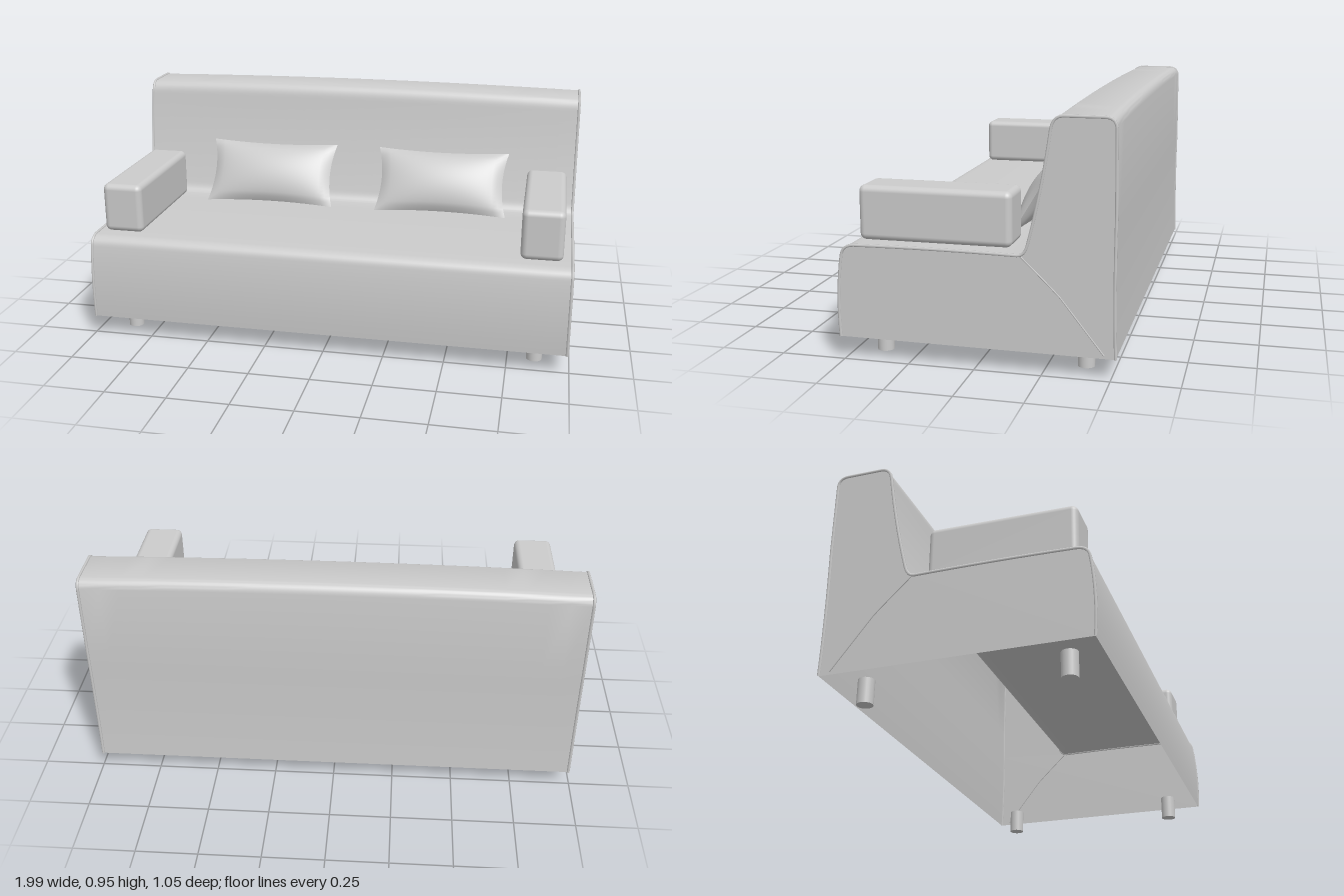
import * as THREE from 'three';
import { RoundedBoxGeometry } from 'three/addons/geometries/RoundedBoxGeometry.js';
import { toCreasedNormals } from 'three/addons/utils/BufferGeometryUtils.js';

const grey = new THREE.MeshStandardMaterial({ color: 0xcccccc });
const cloth = new THREE.MeshStandardMaterial({ color: 0xcccccc, side: THREE.DoubleSide });
const HALF = 0.988; // half width of the cover

function add(parent, name, geometry, material = grey) {
  const mesh = new THREE.Mesh(geometry, material);
  mesh.name = name;
  parent.add(mesh);
  return mesh;
}

// Move every vertex of a geometry by a rule and refresh the normals
function reshape(geometry, rule) {
  const pos = geometry.attributes.position;
  const v = new THREE.Vector3();
  for (let i = 0; i < pos.count; i++) {
    rule(v.fromBufferAttribute(pos, i), i);
    pos.setXYZ(i, v.x, v.y, v.z);
  }
  geometry.computeVertexNormals();
  return geometry;
}

// Side outline (z, y) from the back hem, over the backrest and seat, to the front hem
function sideOutline() {
  const s = new THREE.Shape();
  s.moveTo(-0.517, 0.078);
  s.quadraticCurveTo(-0.508, 0.3, -0.513, 0.6);
  s.lineTo(-0.51, 0.9);
  s.quadraticCurveTo(-0.507, 0.932, -0.475, 0.935);
  s.lineTo(-0.32, 0.935);
  s.quadraticCurveTo(-0.285, 0.93, -0.28, 0.88);
  s.quadraticCurveTo(-0.25, 0.67, -0.2, 0.48);
  s.quadraticCurveTo(-0.19, 0.438, -0.165, 0.435);
  s.quadraticCurveTo(0.15, 0.442, 0.455, 0.436);
  s.quadraticCurveTo(0.5, 0.435, 0.505, 0.395);
  s.quadraticCurveTo(0.528, 0.25, 0.517, 0.083);
  return s;
}

// Thin piping along a list of points
function piping(points, radius = 0.006) {
  const path = new THREE.CurvePath();
  for (let i = 1; i < points.length; i++) path.add(new THREE.LineCurve3(points[i - 1], points[i]));
  return new THREE.TubeGeometry(path, points.length * 3, radius, 6);
}

function buildCover() {
  const cover = new THREE.Group();
  cover.name = 'sofaCover';
  const outline = sideOutline();
  const pts = outline.getPoints(8);

  // Cloth running over back, seat and front, with a slightly crowned top
  const columns = 24;
  const sheet = new THREE.PlaneGeometry(2 * HALF, 1, columns, pts.length - 1);
  reshape(sheet, (v, i) => {
    const p = pts[Math.floor(i / (columns + 1))];
    const crown = 0.013 * Math.max(0, (p.y - 0.8) / 0.135) * (1 - (v.x / HALF) ** 2);
    v.set(v.x, p.y + crown, p.x);
  });
  add(cover, 'seatAndBackCloth', toCreasedNormals(sheet, 0.9), cloth);

  for (const side of [-1, 1]) {
    const x = side * HALF;
    const panel = new THREE.ShapeGeometry(outline, 8).rotateY(-Math.PI / 2).translate(x, 0, 0);
    if (side > 0) panel.index.array.reverse();
    panel.computeVertexNormals();
    add(cover, 'sidePanel', panel, cloth);
    // Piped edge and the diagonal seam between seat and back
    add(cover, 'sidePiping', piping(pts.map(p => new THREE.Vector3(x, p.y, p.x))));
    add(cover, 'diagonalSeam', piping([
      new THREE.Vector3(x, 0.435, -0.17),
      new THREE.Vector3(x, 0.3, -0.31),
      new THREE.Vector3(x, 0.09, -0.475)], 0.003));
  }
  return cover;
}

// Padded bolster with softly swollen long sides
function armrestGeometry() {
  const g = new RoundedBoxGeometry(0.166, 0.204, 0.58, 4, 0.024);
  const pos = g.attributes.position;
  for (let i = 0; i < pos.count; i++) {
    const swell = 1 + 0.05 * (1 - (pos.getZ(i) / 0.29) ** 2);
    pos.setXY(i, pos.getX(i) * swell, pos.getY(i) * swell);
  }
  return g;
}

// Scatter cushion: two puffed faces meeting in a pinched rim with pointed corners
function buildCushion() {
  const cushion = new THREE.Group();
  cushion.name = 'cushion';
  for (const face of [1, -1]) {
    const g = new THREE.PlaneGeometry(2, 2, 24, 16);
    reshape(g, v => {
      const u2 = 1 - v.x * v.x, w2 = 1 - v.y * v.y;
      v.set(v.x * (0.292 - 0.022 * w2), v.y * (0.147 - 0.012 * u2), 0.058 * Math.pow(Math.max(0, u2 * w2), 0.6));
    });
    if (face < 0) g.rotateY(Math.PI);
    add(cushion, face > 0 ? 'cushionFront' : 'cushionBack', g, cloth);
  }
  return cushion;
}

export function createModel() {
  const sofa = new THREE.Group();
  sofa.name = 'sofa';
  sofa.add(buildCover());

  for (const side of [-1, 1]) {
    add(sofa, 'armrest', armrestGeometry()).position.set(side * 0.866, 0.549, 0.16);
    for (const z of [-0.39, 0.39]) {
      add(sofa, 'leg', new THREE.CylinderGeometry(0.032, 0.032, 0.1, 24)).position.set(side * 0.86, 0.05, z);
    }
  }

  // Cushions lean against the backrest
  for (const x of [-0.375, 0.405]) {
    const cushion = buildCushion();
    cushion.position.set(x, 0.565, -0.14);
    cushion.rotation.x = -0.54;
    sofa.add(cushion);
  }
  return sofa;
}
